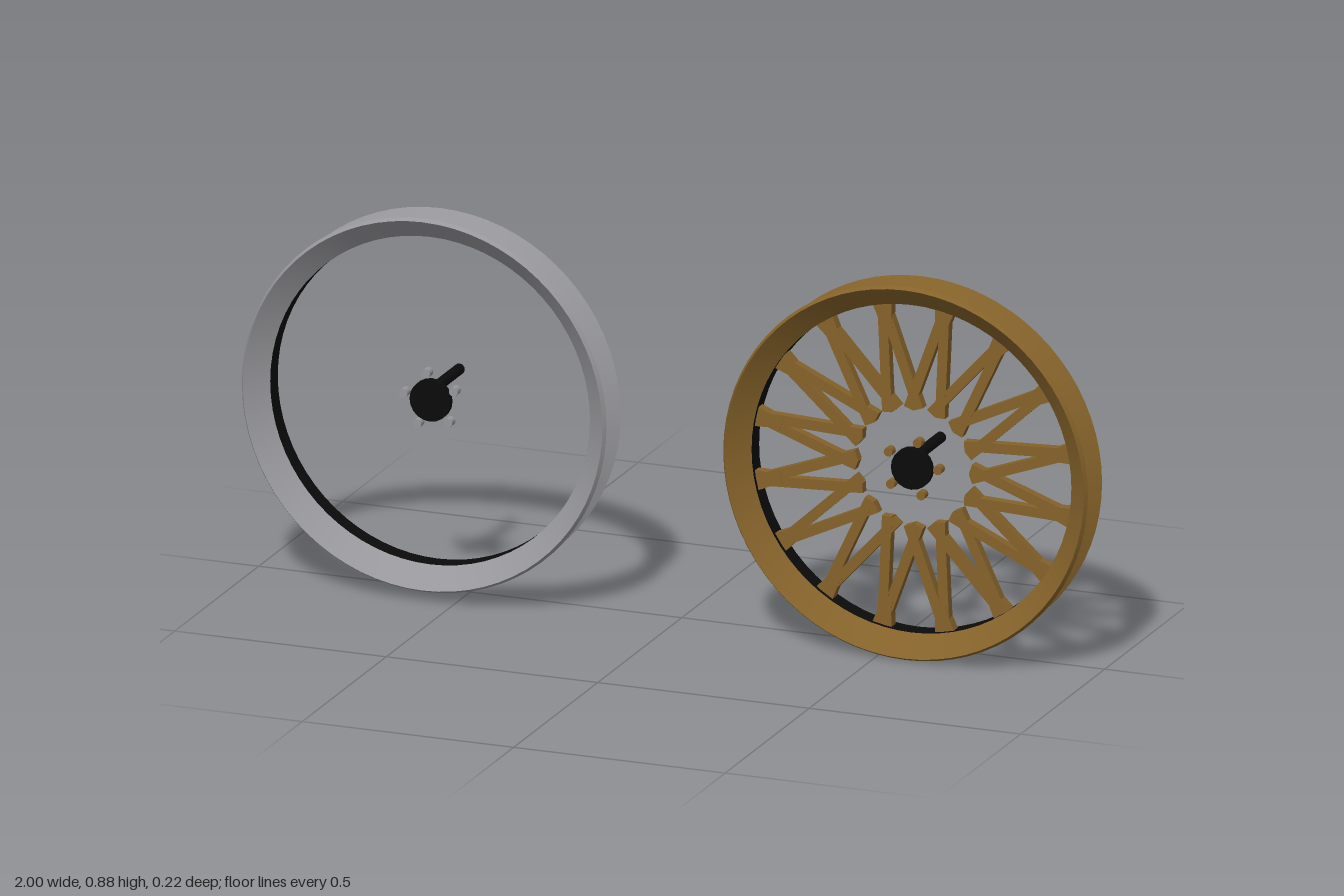
import * as THREE from 'three';
import { toCreasedNormals } from 'three/addons/utils/BufferGeometryUtils.js';

const paint = (name, color) => {
  const m = new THREE.MeshStandardMaterial({ color });
  m.name = name;
  return m;
};

// Lathe a [radius, z] profile around the z axis, keeping hard edges
function spin(profile, segments = 72) {
  const g = new THREE.LatheGeometry(profile.map(([r, z]) => new THREE.Vector2(r, z)), segments);
  g.rotateX(Math.PI / 2);
  return toCreasedNormals(g, 0.35);
}

// Cylinder lying along z between two depths
function rod(radius, z0, z1, sides) {
  const g = new THREE.CylinderGeometry(radius, radius, z1 - z0, sides);
  g.rotateX(Math.PI / 2);
  g.translate(0, 0, (z0 + z1) / 2);
  return g;
}

function add(group, name, geometry, material) {
  const m = new THREE.Mesh(geometry, material);
  m.name = name;
  group.add(m);
  return m;
}

// Plate from a 2D outline, centred on the spoke plane
function plate(points, depth) {
  const shape = new THREE.Shape(points.map(([x, y]) => new THREE.Vector2(x, y)));
  const g = new THREE.ExtrudeGeometry(shape, { depth, bevelEnabled: false });
  g.translate(0, 0, 0.043 - depth / 2);
  return g;
}

const RIM = [
  [0.378, 0.02], [0.421, -0.005], [0.426, 0.003], [0.381, 0.03],
  [0.381, 0.055], [0.431, 0.1], [0.425, 0.11], [0.378, 0.065],
];

function makeWheel(name, metal, black, boltAngle) {
  const wheel = new THREE.Group();
  wheel.name = name;
  add(wheel, 'rim', spin(RIM), metal);
  add(wheel, 'innerBand', spin([[0.378, 0.065], [0.378, 0.02]]), black);
  add(wheel, 'hub', rod(0.048, 0.052, 0.067, 20), black);
  // Axle sits slightly above the hub centre
  add(wheel, 'axle', rod(0.0125, -0.11, 0.055, 16), black).position.y = 0.021;
  // Five lug bolts around the hub
  for (let i = 0; i < 5; i++) {
    const a = THREE.MathUtils.degToRad(boltAngle + i * 72);
    add(wheel, 'bolt', rod(0.0105, 0.05, 0.07, 12), metal)
      .position.set(0.063 * Math.cos(a), 0.063 * Math.sin(a), 0);
  }
  return wheel;
}

// Crossed spokes: each of 16 flared feet carries two diverging legs
function makeSpokes(metal) {
  const spokes = new THREE.Group();
  spokes.name = 'spokes';
  const foot = plate([[-0.013, 0.318], [0.013, 0.318], [0.015, 0.342], [0.023, 0.378], [-0.023, 0.378], [-0.015, 0.342]], 0.024);
  const inner = new THREE.Vector2(0.038, 0.13);
  const outer = new THREE.Vector2(0.003, 0.36);
  const along = outer.clone().sub(inner);
  const side = new THREE.Vector2(along.y, -along.x).normalize().multiplyScalar(0.0115);
  const corner = (p, s) => [p.x + side.x * s, p.y + side.y * s];
  const rightLeg = [corner(inner, -1), corner(inner, 1), corner(outer, 1), corner(outer, -1)];
  const leftLeg = rightLeg.map(([x, y]) => [-x, y]).reverse();
  const legs = [plate(rightLeg, 0.022), plate(leftLeg, 0.021)];
  for (let i = 0; i < 16; i++) {
    const spoke = new THREE.Group();
    spoke.name = 'spoke';
    add(spoke, 'spokeFoot', foot, metal);
    legs.forEach((leg) => add(spoke, 'spokeLeg', leg, metal));
    spoke.rotation.z = (i + 0.5) * Math.PI / 8;
    spokes.add(spoke);
  }
  return spokes;
}

export function createModel() {
  const silver = paint('silver', 0x98979b);
  const bronze = paint('bronze', 0x85622a);
  const black = paint('black', 0x0b0b0b);

  const model = new THREE.Group();
  model.name = 'wheelPair';

  const plain = makeWheel('plainWheel', silver, black, 98);
  plain.position.set(-0.569, 0.453, 0);

  const spoked = makeWheel('spokedWheel', bronze, black, 76);
  spoked.position.set(0.569, 0.431, 0);
  spoked.add(makeSpokes(bronze));

  model.add(plain, spoked);
  return model;
}
